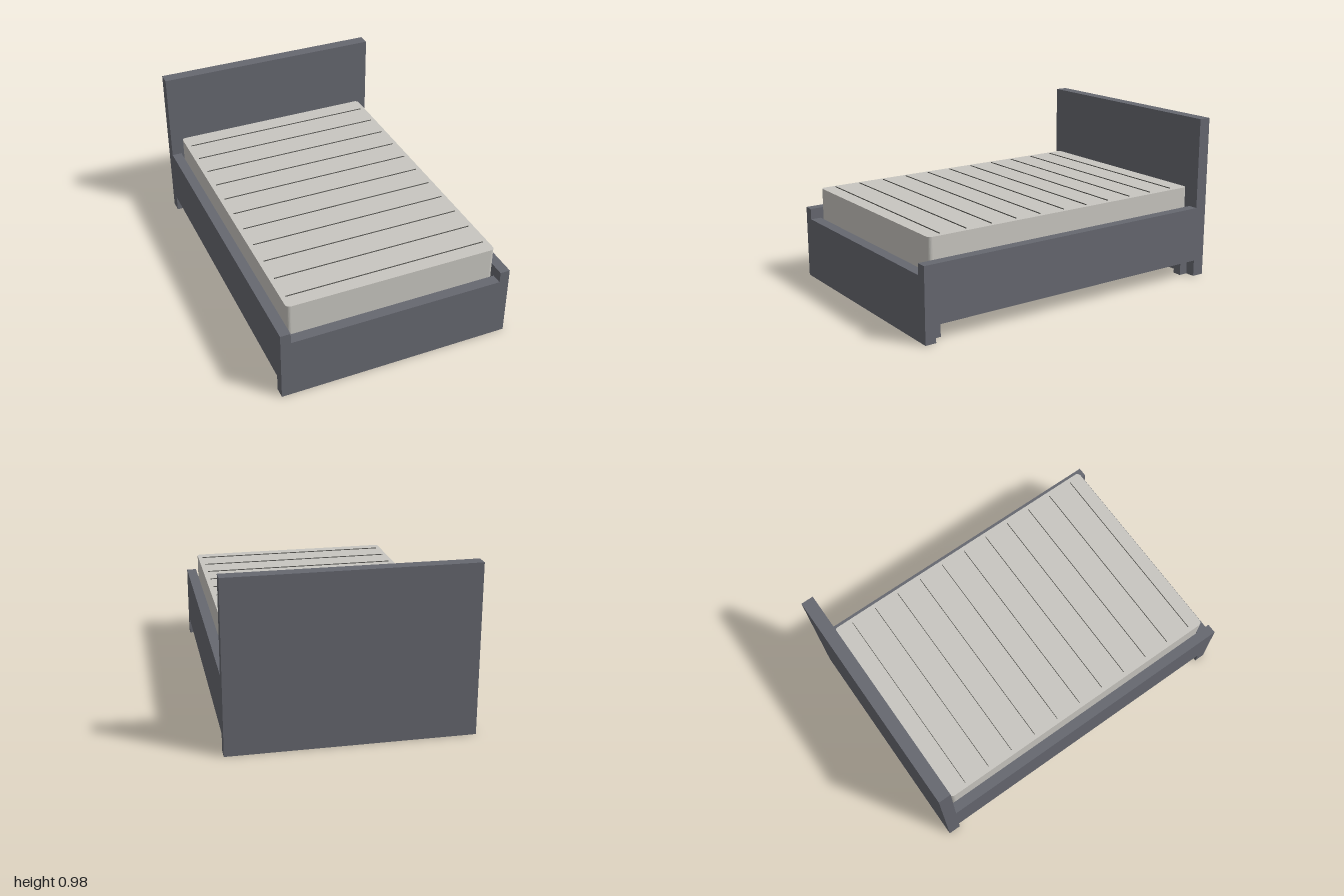
import * as THREE from 'three';

export function createModel() {
  const bed = new THREE.Group();
  bed.name = 'bed';

  const frameMat = new THREE.MeshStandardMaterial({ color: 0x666870 });
  frameMat.name = 'slate grey frame';
  const mattressMat = new THREE.MeshStandardMaterial({ color: 0xc8c6c0 });
  mattressMat.name = 'warm white mattress';
  const seamMat = new THREE.MeshStandardMaterial({ color: 0x5c5b57 });
  seamMat.name = 'dark grey seam';

  const add = (name, geometry, material) => {
    const mesh = new THREE.Mesh(geometry, material);
    mesh.name = name;
    bed.add(mesh);
    return mesh;
  };

  // Box given by its extents along each axis
  const box = (name, [x0, x1], [y0, y1], [z0, z1], material) => {
    const mesh = add(name, new THREE.BoxGeometry(x1 - x0, y1 - y0, z1 - z0), material);
    mesh.position.set((x0 + x1) / 2, (y0 + y1) / 2, (z0 + z1) / 2);
    return mesh;
  };

  const W = 0.695, inner = 0.635, railTop = 0.435, footTop = 0.37, under = 0.1;
  const headZ = -0.925, footZ = 0.935;

  // Headboard
  box('headboard', [-W, W], [0, 0.983], [-1, headZ], frameMat);

  // Footboard with a lowered middle between its two raised corners
  const foot = new THREE.Shape([
    [-W, 0], [W, 0], [W, railTop], [inner, railTop],
    [inner, footTop], [-inner, footTop], [-inner, railTop], [-W, railTop],
  ].map(([x, y]) => new THREE.Vector2(x, y)));
  add('footboard', new THREE.ExtrudeGeometry(foot, { depth: 1 - footZ, bevelEnabled: false }), frameMat)
    .position.z = footZ;

  // Side rails and the base between them
  box('leftRail', [inner, W], [under, railTop], [headZ, footZ], frameMat);
  box('rightRail', [-W, -inner], [under, railTop], [headZ, footZ], frameMat);
  box('base', [-inner, inner], [under, 0.3], [headZ, footZ], frameMat);

  // Short legs set in from the corners
  for (const [side, x0, x1] of [['left', 0.58, 0.635], ['right', -0.635, -0.58]]) {
    box(side + 'FrontLeg', [x0, x1], [0, under], [0.87, 0.925], frameMat);
    box(side + 'BackLeg', [x0, x1], [0, under], [headZ, -0.87], frameMat);
  }

  // Mattress with rounded upright corners
  const mx = 0.628, mz = 0.917, r = 0.025, midZ = 0.013, mattressTop = 0.557;
  const outline = new THREE.Shape();
  outline.moveTo(mx, -mz + r);
  outline.absarc(mx - r, mz - r, r, 0, Math.PI / 2);
  outline.absarc(-mx + r, mz - r, r, Math.PI / 2, Math.PI);
  outline.absarc(-mx + r, -mz + r, r, Math.PI, Math.PI * 1.5);
  outline.absarc(mx - r, -mz + r, r, Math.PI * 1.5, Math.PI * 2);
  const mattress = add('mattress', new THREE.ExtrudeGeometry(outline, {
    depth: mattressTop - 0.3, bevelEnabled: false, curveSegments: 6,
  }), mattressMat);
  mattress.rotation.x = -Math.PI / 2;
  mattress.position.set(0, 0.3, midZ);

  // Fine upright seams across the mattress top
  for (let i = 0; i < 11; i++) {
    const z = 0.845 - i * 0.1635;
    box('seam' + (i + 1), [-0.6, 0.6], [mattressTop - 0.003, mattressTop + 0.005],
      [z - 0.0015, z + 0.0015], seamMat);
  }

  return bed;
}
